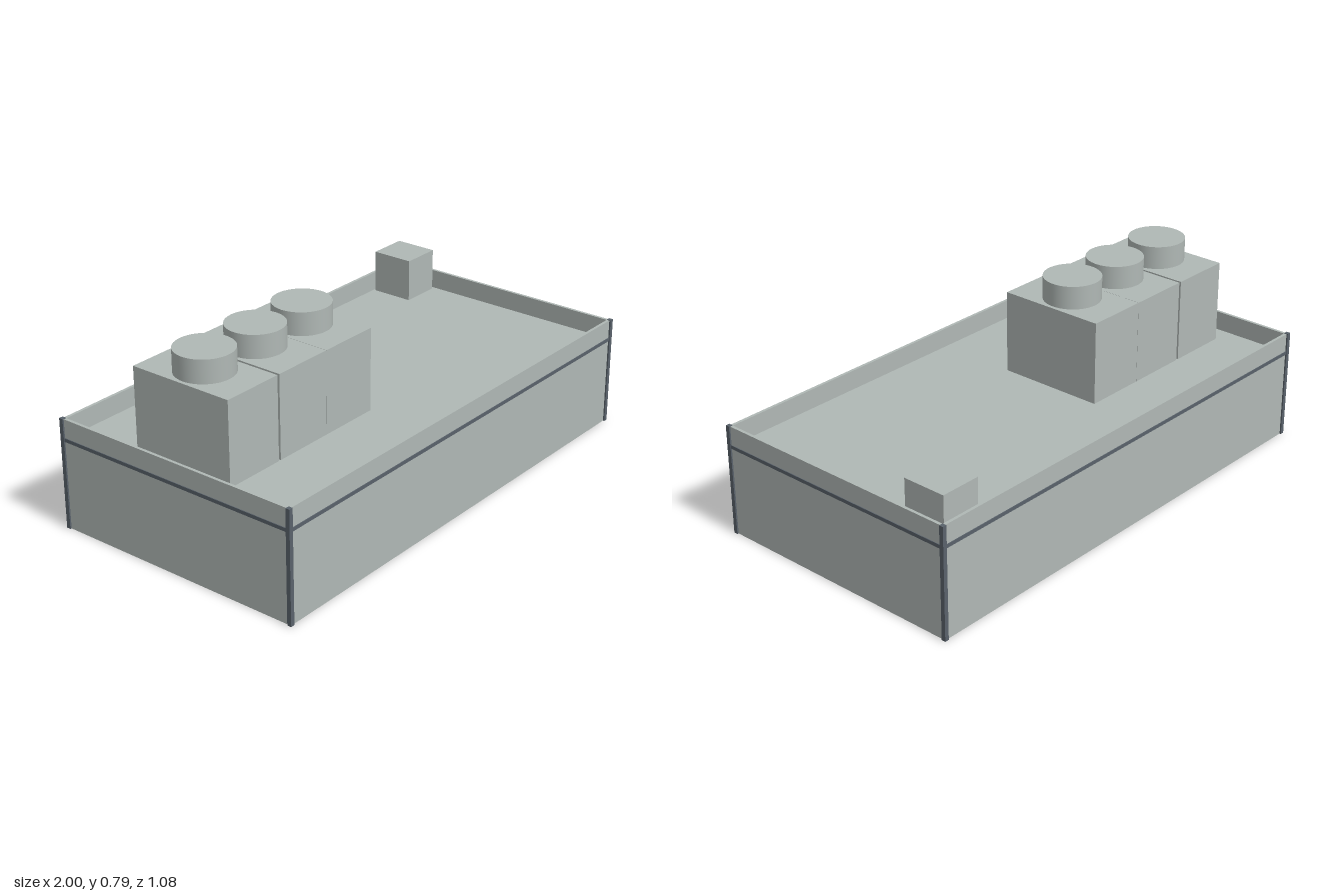
import * as THREE from 'three';

export function createModel() {
  const model = new THREE.Group();
  model.name = 'flatRoofBuilding';
  const concrete = new THREE.MeshStandardMaterial({ color: 0xb0b8b5 });
  concrete.name = 'pale grey concrete';
  const trim = new THREE.MeshStandardMaterial({ color: 0x59626b });
  trim.name = 'dark slate trim';

  const add = (name, geometry, material, x, y, z) => {
    const mesh = new THREE.Mesh(geometry, material);
    mesh.name = name;
    mesh.position.set(x, y, z);
    model.add(mesh);
  };
  // Box given by its limits on each axis
  const box = (name, material, [x0, x1], [y0, y1], [z0, z1]) =>
    add(name, new THREE.BoxGeometry(x1 - x0, y1 - y0, z1 - z0), material,
      (x0 + x1) / 2, (y0 + y1) / 2, (z0 + z1) / 2);

  // Rectangular frame, open above and below
  const rect = (target, w, d) => target.moveTo(-w, -d).lineTo(w, -d).lineTo(w, d).lineTo(-w, d).closePath();
  const frame = (name, material, w, d, thick, y0, y1) => {
    const shape = rect(new THREE.Shape(), w, d);
    shape.holes.push(rect(new THREE.Path(), w - thick, d - thick));
    const geometry = new THREE.ExtrudeGeometry(shape, { depth: y1 - y0, bevelEnabled: false });
    geometry.rotateX(-Math.PI / 2);
    add(name, geometry, material, 0, y0, 0);
  };

  // Walls with parapet, roof slab and the dark line around it
  frame('walls', concrete, 0.994, 0.532, 0.012, 0, 0.446);
  box('roofSlab', concrete, [-0.983, 0.983], [0.357, 0.368], [-0.521, 0.521]);
  frame('roofLine', trim, 0.997, 0.535, 0.005, 0.357, 0.371);

  // Corner posts
  for (const sx of [-1, 1]) {
    for (const sz of [-1, 1]) {
      add('cornerPost', new THREE.BoxGeometry(0.017, 0.448, 0.017), trim, sx * 0.9915, 0.224, sz * 0.5295);
    }
  }

  // Row of rooftop units, each with a round vent
  for (const x of [-0.774, -0.51, -0.255]) {
    box('rooftopUnit', concrete, [x - 0.127, x + 0.127], [0.368, 0.7], [-0.25, 0.19]);
    add('roundVent', new THREE.CylinderGeometry(0.113, 0.113, 0.092, 48), concrete, x, 0.746, -0.029);
  }

  // Small box in the back corner
  box('cornerBox', concrete, [0.802, 0.968], [0.368, 0.543], [-0.512, -0.334]);

  return model;
}
